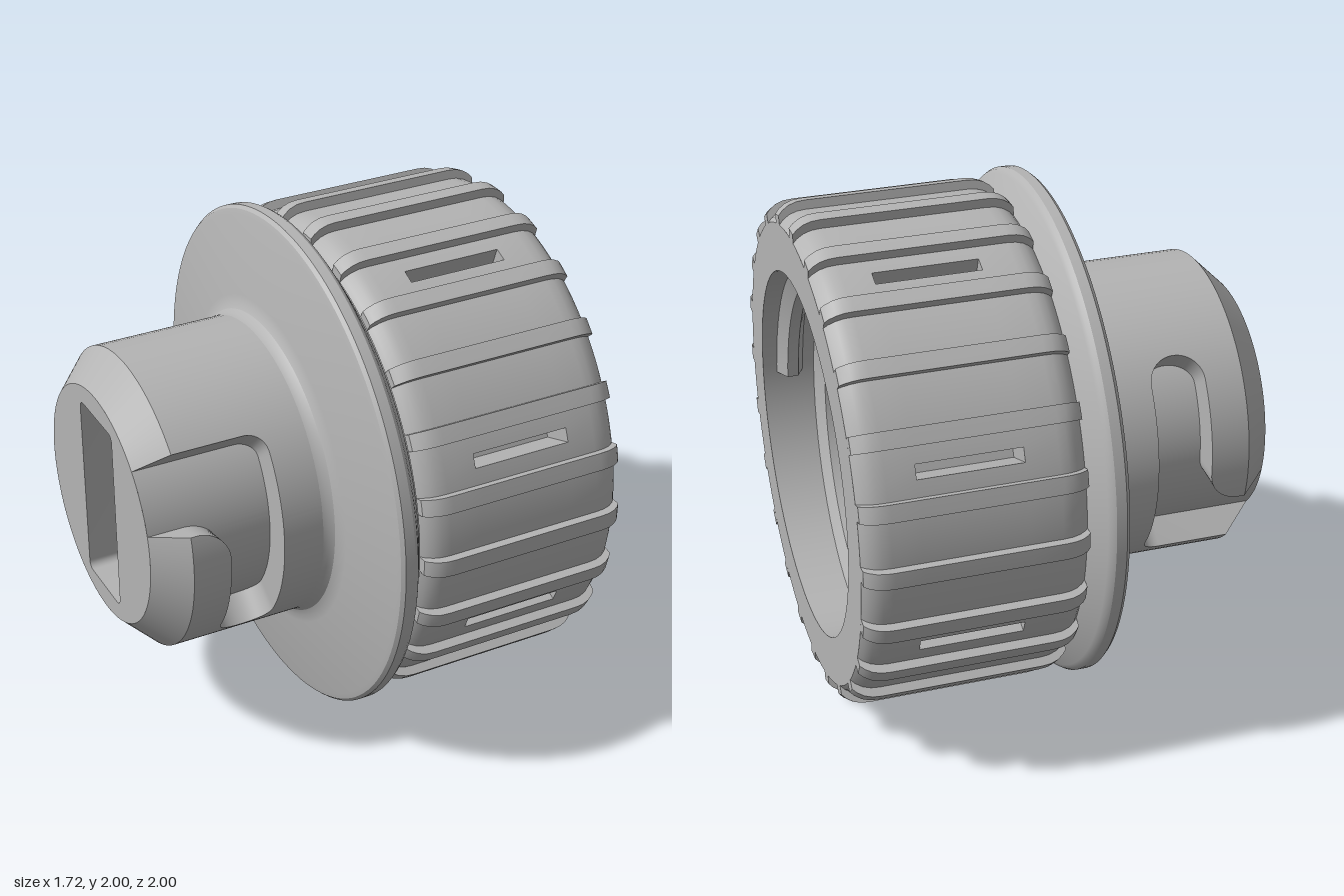
import * as THREE from 'three';
import { mergeGeometries, toCreasedNormals } from 'three/addons/utils/BufferGeometryUtils.js';

const DEG = Math.PI / 180;
// Point on a cylinder around the x axis; angle runs from +z towards +y
const P = (x, r, a) => new THREE.Vector3(x, r * Math.sin(a), r * Math.cos(a));
const steps = (n, f) => Array.from({ length: n + 1 }, (_, i) => f(i / n));
const lerp = THREE.MathUtils.lerp;

// Skin a list of cross-sections, leaving out collapsed triangles
function skin(rows) {
  const pos = [];
  const tri = (a, b, c) => {
    const area = b.clone().sub(a).cross(c.clone().sub(a)).length();
    if (area > 1e-9) for (const p of [a, b, c]) pos.push(p.x, p.y, p.z);
  };
  for (let i = 0; i + 1 < rows.length; i++) {
    for (let j = 0; j + 1 < rows[i].length; j++) {
      const a = rows[i][j], d = rows[i][j + 1], b = rows[i + 1][j], c = rows[i + 1][j + 1];
      tri(a, d, c);
      tri(a, c, b);
    }
  }
  const g = new THREE.BufferGeometry();
  g.setAttribute('position', new THREE.Float32BufferAttribute(pos, 3));
  return g;
}

// Revolve a profile of [x, radius] between two angles
const revolve = (profile, n, a0 = 0, a1 = 2 * Math.PI) =>
  skin(steps(n, t => profile.map(([x, r]) => P(x, r, lerp(a0, a1, t)))));

// Repeat a geometry evenly around the x axis
const around = (g, n, start = 0) =>
  mergeGeometries(steps(n - 1, t => g.clone().rotateX(start + t * (n - 1) * 2 * Math.PI / n)));

// Closed rounded rectangle at x, as points
function rectLoop(x, hz, hy, r) {
  const pts = [];
  for (let q = 0; q < 4; q++) {
    const cz = (q === 0 || q === 3 ? 1 : -1) * (hz - r), cy = (q < 2 ? 1 : -1) * (hy - r);
    for (let k = 0; k <= 6; k++) {
      const a = (q + k / 6) * Math.PI / 2;
      pts.push(new THREE.Vector3(x, cy + r * Math.sin(a), cz + r * Math.cos(a)));
    }
  }
  return [...pts, pts[0].clone()];
}

// Flat disc with a rounded rectangular opening, facing +x (side 1) or -x (side -1)
function holedDisc(x, radius, hz, hy, r, side) {
  const s = new THREE.Shape().absarc(0, 0, radius, 0, 2 * Math.PI);
  s.holes.push(new THREE.Path(rectLoop(0, hz, hy, r).slice(0, -1).map(p => new THREE.Vector2(p.z, p.y))));
  const g = new THREE.ShapeGeometry(s, 48).rotateY(side * Math.PI / 2).translate(x, 0, 0).toNonIndexed();
  g.deleteAttribute('uv');
  g.deleteAttribute('normal');
  return g;
}

// Bayonet plug: half a turn of skin with one J-shaped slot cut to a lower radius
function plugHalf() {
  const R = 0.59, F = 0.47, X0 = -0.86, XC = -0.74, X1 = -0.2;
  const rad = x => (x < XC ? F + (x - X0) : R);
  const round = (r, s) => Math.sqrt(Math.max(0, r * r - (r - s) ** 2));
  const ease = (a, b, n) => steps(n, t => lerp(a, b, (1 - Math.cos(Math.PI * t)) / 2) * DEG);
  const low = ease(-45, 15, 48), high = ease(15, 45, 24);
  const left = a => {
    const s = (a + 45 * DEG) * R, t = (15 * DEG - a) * R;
    if (s < 0.1075) return -0.4825 - round(0.1075, s);
    return t < 0.13 ? -0.72 + round(0.13, t) : -0.59;
  };
  const right = a => {
    const s = (a + 45 * DEG) * R, t = (45 * DEG - a) * R;
    if (s < 0.1075) return -0.4825 + round(0.1075, s);
    return t < 0.08 ? -0.455 + round(0.08, t) : -0.375;
  };
  const outer = (angles, xs) => skin(angles.map(a => xs(a).map(x => P(x, rad(x), a))));
  const floor = (angles, x0) => skin(angles.map(a => [P(x0(a), F, a), P(right(a), F, a)]));
  const rim = [
    [X0, 15 * DEG], [XC, 15 * DEG],
    ...low.slice().reverse().map(a => [left(a), a]),
    ...low.map(a => [right(a), a]), ...high.map(a => [right(a), a]),
    [XC, 45 * DEG], [X0, 45 * DEG],
  ];
  return mergeGeometries([
    outer(ease(-90, -45, 14), () => [X0, XC, X1]),
    outer(ease(45, 90, 14), () => [X0, XC, X1]),
    outer(low, a => [X0, XC, left(a)]),
    outer(low, a => [right(a), X1]),
    outer(high, a => [right(a), X1]),
    floor(low, left),
    floor(high, () => X0),
    skin(rim.map(([x, a]) => [P(x, F, a), P(x, rad(x), a)])),
  ]);
}

export function createModel() {
  const model = new THREE.Group();
  model.name = 'threadedBayonetCap';
  const grey = new THREE.MeshStandardMaterial({ color: 0xb4b4b4, side: THREE.DoubleSide });
  grey.name = 'grey plastic';
  const add = (name, ...parts) => {
    const g = toCreasedNormals(mergeGeometries(parts), 28 * DEG);
    const m = new THREE.Mesh(g, grey);
    m.name = name;
    model.add(m);
  };

  // Plug with two opposite slots, and its end face
  add('bayonetPlug', around(plugHalf(), 2), holedDisc(-0.86, 0.47, 0.15, 0.38, 0.03, -1));

  // Flange with a fillet at the plug and a rounded rim
  add('flange', revolve([
    [-0.215, 0.59], [-0.195, 0.594], [-0.175, 0.607], [-0.163, 0.63], [-0.158, 0.66],
    [-0.115, 0.965], [-0.109, 0.987], [-0.095, 0.999], [-0.055, 0.999], [-0.04, 0.99],
    [-0.03, 0.975], [0.012, 0.905], [0.02, 0.89],
  ], 128));

  // Grip body, with eight pockets between the ribs
  const w = 0.029, e = Math.PI / 8, top = 0.942, deep = 0.8;
  const leftEnd = [[0.02, 0.895], [0.035, 0.912], [0.06, 0.929], [0.09, 0.939], [0.125, top]];
  const rightEnd = [[0.755, top], [0.79, 0.939], [0.82, 0.929], [0.845, 0.912], [0.86, 0.895]];
  const leftPart = [...leftEnd, [0.25, top]], rightPart = [[0.645, top], ...rightEnd];
  const body = [...leftPart, ...rightPart];
  const pocketLoop = r => [[0.25, -w], [0.645, -w], [0.645, w], [0.25, w], [0.25, -w]].map(([x, a]) => P(x, r, a));
  const sector = mergeGeometries([
    revolve(body, 8, -e, -w), revolve(leftPart, 1, -w, w),
    revolve(rightPart, 1, -w, w), revolve(body, 8, w, e),
    skin([pocketLoop(top), pocketLoop(deep), pocketLoop(deep).map(() => P(0.4475, deep, 0))]),
  ]);
  add('gripBody', around(sector, 8, e));

  // Twenty-four raised ribs following the rounded body
  const h = 0.034;
  const ribLine = [[0.02, 0.895], ...body.map(([x, r]) => [x, r + 0.035]), [0.86, 0.895]];
  const line = (drop, a) => ribLine.map(([x, r]) => P(x, Math.max(0.89, r - drop), a));
  const rib = skin([line(0.045, -h), line(0, -h), line(0, 0), line(0, h), line(0.045, h)]);
  add('gripRibs', around(rib, 24));

  // Open mouth, bore and bore floor
  add('bore', revolve([[0.86, 0.895], [0.86, 0.71], [0, 0.71]], 128), holedDisc(0, 0.71, 0.32, 0.54, 0.1, 1));

  // Internal screw thread with closed ends
  const thread = steps(4 * 64, t => {
    const x = lerp(0.13, 0.75, t), a = -t * 8 * Math.PI;
    return [[-0.055, 0.712], [-0.022, 0.65], [0.022, 0.65], [0.055, 0.712]].map(([dx, r]) => P(x + dx, r, a));
  });
  const cap = row => row.map(() => row[0].clone().lerp(row[3], 0.5));
  add('screwThread', skin([cap(thread[0]), ...thread, cap(thread[thread.length - 1])]));

  // Stepped rectangular passage through the plug
  add('passage', skin([
    rectLoop(0, 0.32, 0.54, 0.1), rectLoop(-0.12, 0.26, 0.485, 0.07), rectLoop(-0.7, 0.26, 0.485, 0.07),
    rectLoop(-0.7, 0.15, 0.38, 0.03), rectLoop(-0.86, 0.15, 0.38, 0.03),
  ]));

  model.position.y = 1;
  const root = new THREE.Group();
  root.name = 'cap';
  root.add(model);
  return root;
}
